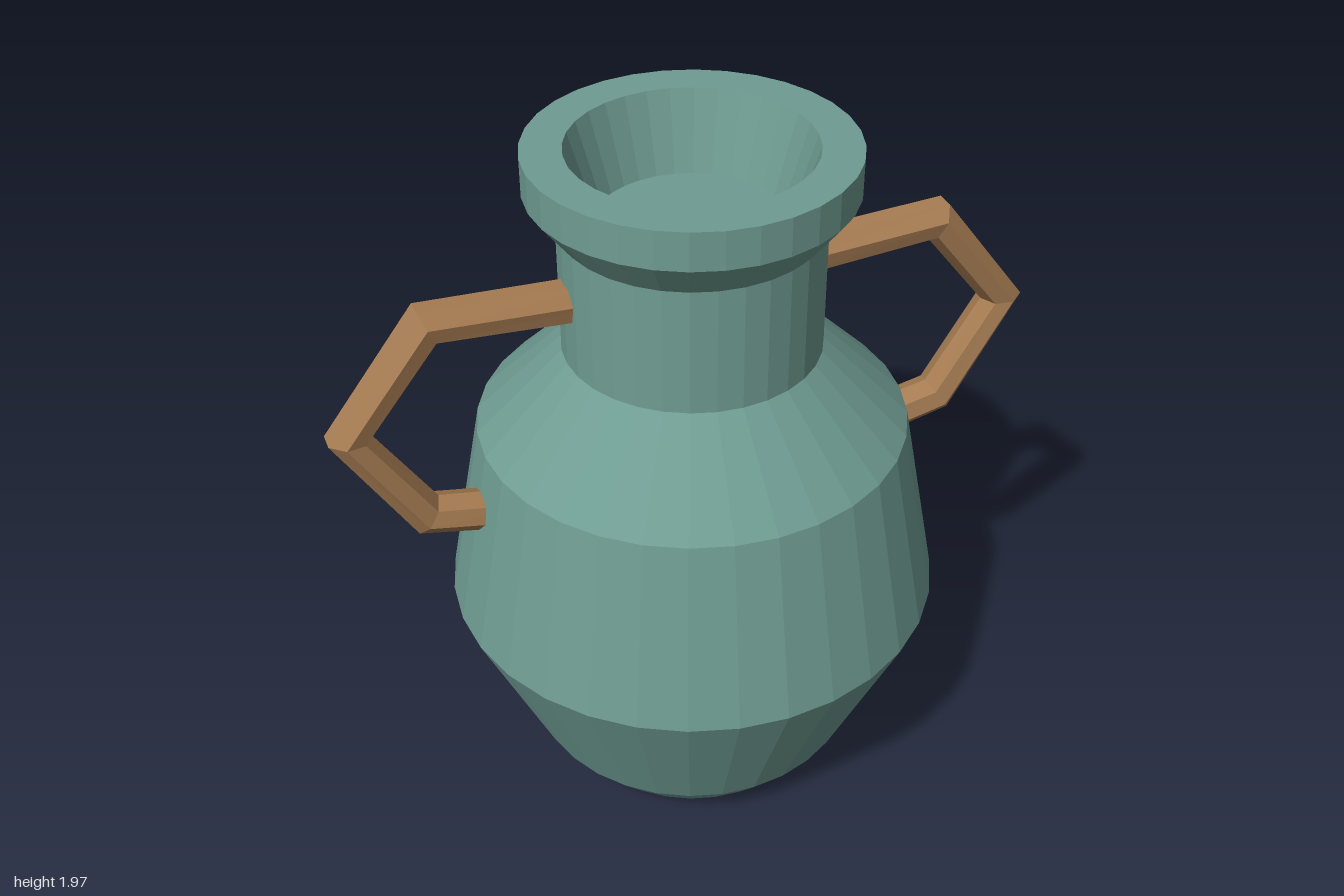
import * as THREE from 'three';

const clay = new THREE.MeshStandardMaterial({ color: 0x6f9c92, flatShading: true });
const wood = new THREE.MeshStandardMaterial({ color: 0xa67c52, flatShading: true });

// Faceted tube along a path in the xy plane, its flat side facing outwards
function facetedTube(path, radius, sides) {
  const pts = path.map(([x, y]) => new THREE.Vector2(x, y));
  const last = pts.length - 1;
  const dir = (i) => pts[i + 1].clone().sub(pts[i]).normalize();
  const positions = [];
  const index = [];
  pts.forEach((p, i) => {
    const t = dir(Math.max(i - 1, 0)).add(dir(Math.min(i, last - 1))).normalize();
    for (let s = 0; s < sides; s++) {
      const a = ((s + 0.5) / sides) * Math.PI * 2;
      const n = radius * Math.cos(a);
      positions.push(p.x - t.y * n, p.y + t.x * n, radius * Math.sin(a));
    }
  });
  for (let i = 0; i < last; i++) {
    for (let s = 0; s < sides; s++) {
      const a = i * sides + s;
      const b = i * sides + ((s + 1) % sides);
      index.push(a, b, a + sides, b, b + sides, a + sides);
    }
  }
  // End caps
  for (let s = 1; s < sides - 1; s++) {
    const e = last * sides;
    index.push(0, s + 1, s, e, e + s, e + s + 1);
  }
  const geometry = new THREE.BufferGeometry();
  geometry.setAttribute('position', new THREE.Float32BufferAttribute(positions, 3));
  geometry.setIndex(index);
  const flat = geometry.toNonIndexed();
  flat.computeVertexNormals();
  return flat;
}

export function createModel() {
  const group = new THREE.Group();

  // Body, neck, flared rim and shallow tapered mouth
  const profile = [
    [0, 0], [0.375, 0], [0.485, 0.135], [0.695, 0.62], [0.59, 1.16],
    [0.35, 1.4], [0.35, 1.755], [0.43, 1.86], [0.43, 1.965],
    [0.322, 1.965], [0.256, 1.75], [0, 1.75],
  ].map(([r, y]) => new THREE.Vector2(r, y));
  const body = new THREE.Mesh(new THREE.LatheGeometry(profile, 32), clay);
  body.name = 'vaseBody';
  group.add(body);

  // Angular handles running from neck to shoulder
  const handlePath = [[0.25, 1.584], [0.712, 1.611], [0.94, 1.32], [0.76, 1.024], [0.5, 0.97]];
  const handleGeometry = facetedTube(handlePath, 0.06, 7);
  ['leftHandle', 'rightHandle'].forEach((name, i) => {
    const handle = new THREE.Mesh(handleGeometry, wood);
    handle.name = name;
    handle.rotation.y = i * Math.PI;
    group.add(handle);
  });

  return group;
}
